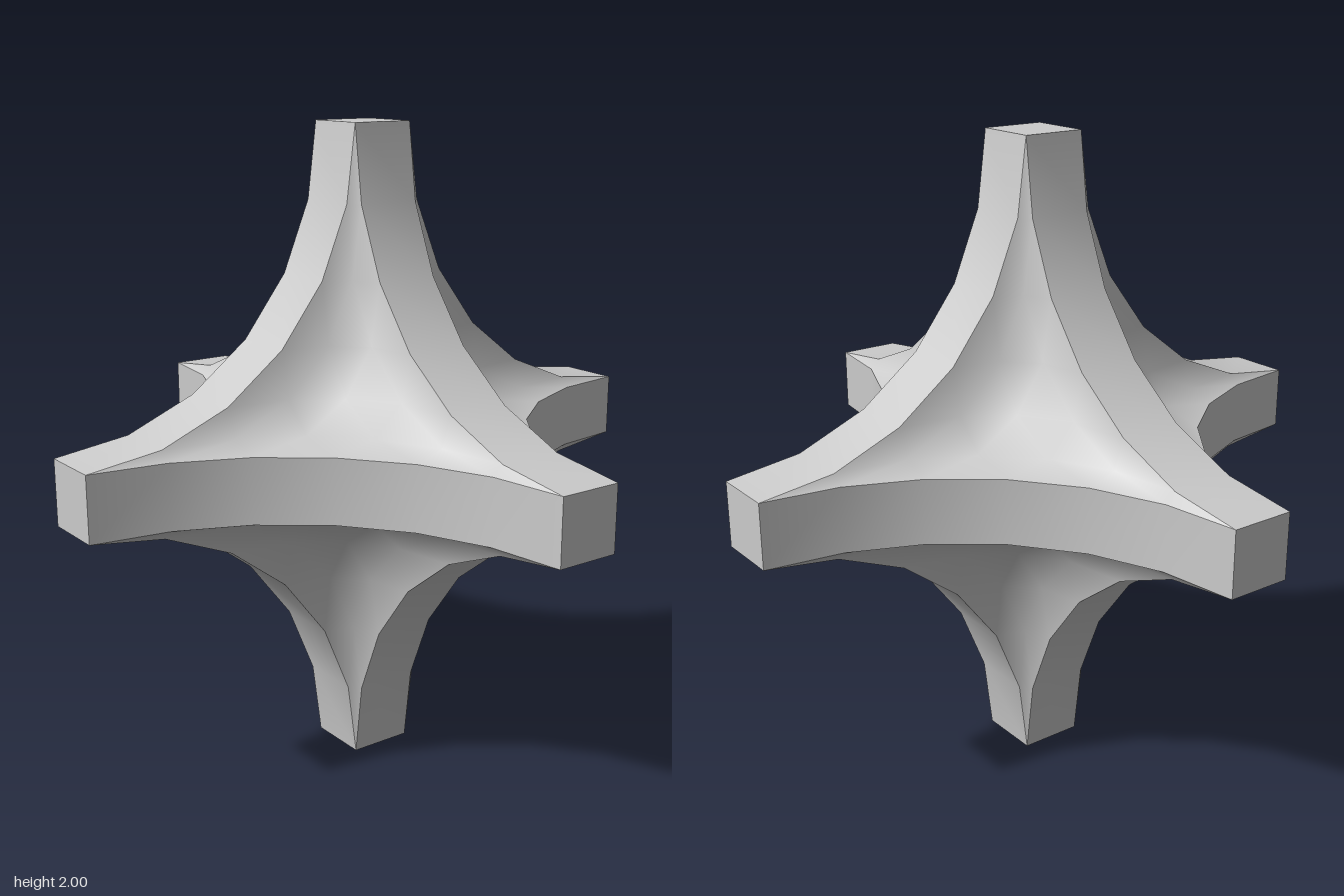
import * as THREE from 'three';

const R = 0.9, HALF = 0.1, N = 6, Q = Math.PI / 2;

function surface(pos, index) {
  const g = new THREE.BufferGeometry();
  g.setAttribute('position', new THREE.Float32BufferAttribute(pos, 3));
  g.setIndex(index);
  g.computeVertexNormals();
  return g;
}

// Concave ribbon along a quarter arc, joining the tips of two arms
function ribbonGeometry() {
  const pos = [], index = [];
  for (let i = 0; i <= N; i++) {
    const c = Math.cos(Q * i / N), s = Math.sin(Q * i / N);
    for (const z of [-HALF, HALF]) pos.push(1 - R * c, 1 - R * s, z);
    if (i < N) {
      const k = 2 * i;
      index.push(k, k + 1, k + 2, k + 1, k + 3, k + 2);
    }
  }
  return surface(pos, index);
}

// Deep three-sided dish filling one octant; each coordinate follows the ribbon arc
function hollowGeometry(sx, sy, sz) {
  const pos = [], index = [], ids = {};
  const flip = sx * sy * sz < 0;
  const arc = k => 1 - R * Math.cos(Q * k / N);
  for (let i = 0; i <= N; i++) for (let j = 0; j <= N - i; j++) {
    ids[i + ',' + j] = pos.length / 3;
    pos.push(sx * arc(i), sy * arc(j), sz * arc(N - i - j));
  }
  const id = (i, j) => ids[i + ',' + j];
  const tri = (a, b, c) => index.push(...(flip ? [a, c, b] : [a, b, c]));
  for (let i = 0; i < N; i++) for (let j = 0; j < N - i; j++) {
    tri(id(i, j), id(i + 1, j), id(i, j + 1));
    if (i + j < N - 1) tri(id(i + 1, j), id(i + 1, j + 1), id(i, j + 1));
  }
  return surface(pos, index);
}

export function createModel() {
  const group = new THREE.Group();
  const body = new THREE.Group();
  body.name = 'sixArmedStar';
  body.position.y = 1;
  group.add(body);
  const material = new THREE.MeshStandardMaterial({ color: 0xcccccc });
  const add = (name, geometry) => {
    const mesh = new THREE.Mesh(geometry, material);
    mesh.name = name;
    body.add(mesh);
  };

  // Four ribbons in each of the three main planes
  const planes = [g => g, g => g.rotateY(Q), g => g.rotateX(Q)];
  for (const turn of planes)
    for (let k = 0; k < 4; k++) add('ribbon', turn(ribbonGeometry().rotateZ(k * Q)));

  // Eight hollows, mirrored into every octant
  for (const sx of [1, -1]) for (const sy of [1, -1]) for (const sz of [1, -1])
    add('hollow', hollowGeometry(sx, sy, sz));

  // Square tips of the six arms
  const tip = () => new THREE.PlaneGeometry(2 * HALF, 2 * HALF).translate(0, 0, 1);
  for (let k = 0; k < 4; k++) add('armTip', tip().rotateY(k * Q));
  for (const s of [1, -1]) add('armTip', tip().rotateX(s * Q));

  return group;
}
